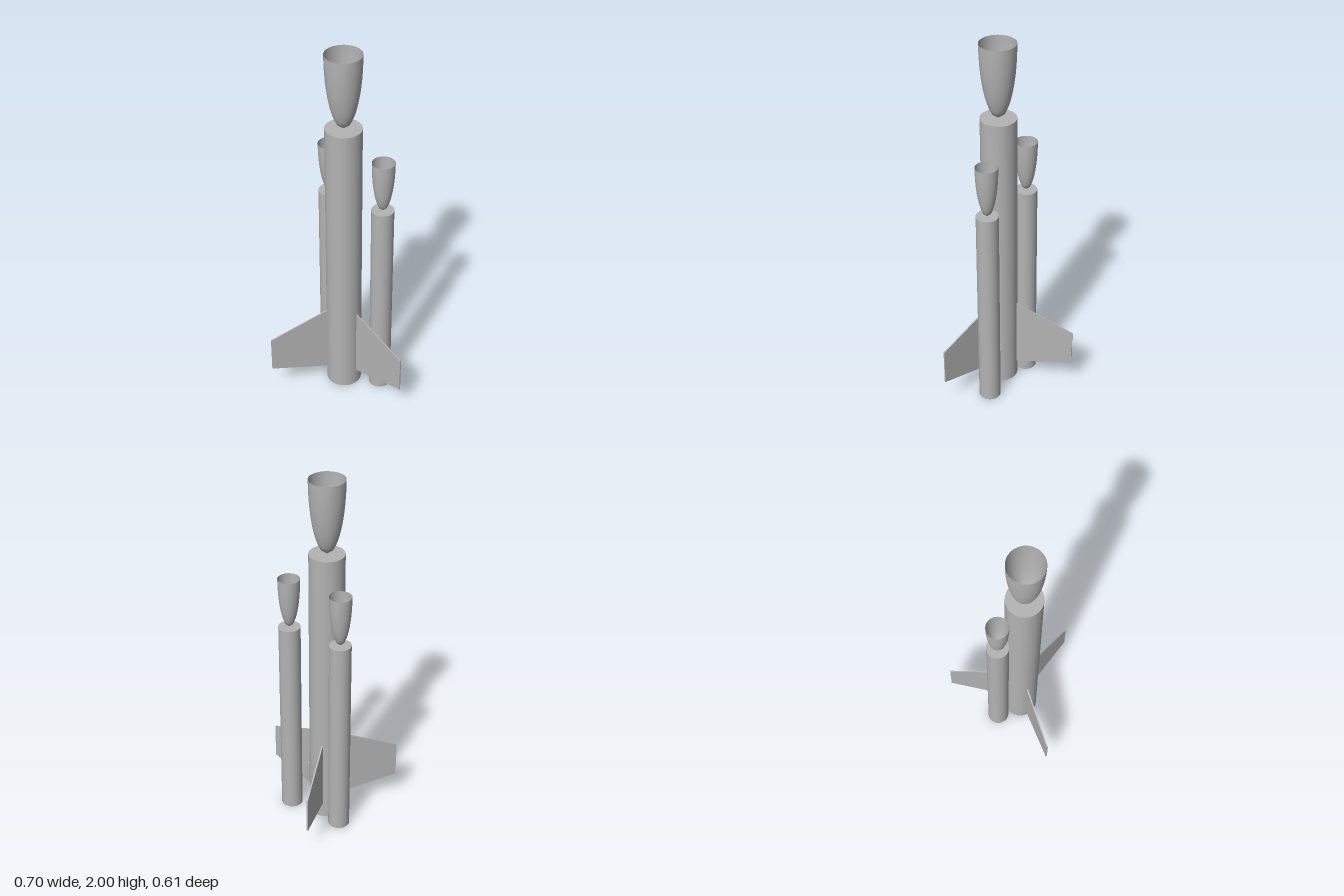
import * as THREE from 'three';

export function createModel() {
  const model = new THREE.Group();
  model.name = 'rocket';
  const grey = new THREE.MeshStandardMaterial({ color: 0xb3b3b3, side: THREE.DoubleSide });
  grey.name = 'grey';
  const axisZ = 0.1; // the main body stands forward of the origin

  const add = (parent, name, geometry) => {
    const mesh = new THREE.Mesh(geometry, grey);
    mesh.name = name;
    parent.add(mesh);
    return mesh;
  };

  // A closed tube with an open, tip-down elliptical shell on top
  function stage(name, x, z, radius, height, noseHeight) {
    const group = new THREE.Group();
    group.name = name;
    group.position.set(x, 0, z);
    const tube = add(group, name + 'Tube', new THREE.CylinderGeometry(radius, radius, height, 48));
    tube.position.y = height / 2;
    const profile = [];
    const steps = 16;
    for (let i = 0; i <= steps; i++) {
      const t = i / steps;
      profile.push(new THREE.Vector2(radius * Math.sqrt(1 - (1 - t) ** 2), t * noseHeight));
    }
    const nose = add(group, name + 'Nose', new THREE.LatheGeometry(profile, 48));
    nose.position.y = height;
    model.add(group);
  }

  stage('mainBody', 0, axisZ, 0.093, 1.602, 0.398);
  stage('leftBooster', 0.2, axisZ, 0.058, 1.153, 0.28);
  stage('rearBooster', -0.1, -0.014, 0.058, 1.153, 0.28);

  // Three swept fins, 120 degrees apart, one pointing straight back
  const outline = new THREE.Shape([
    new THREE.Vector2(0.09, 0.09),
    new THREE.Vector2(0.405, 0.15),
    new THREE.Vector2(0.405, 0.35),
    new THREE.Vector2(0.09, 0.487),
  ]);
  const thickness = 0.007;
  const finGeometry = new THREE.ExtrudeGeometry(outline, { depth: thickness, bevelEnabled: false });
  finGeometry.translate(0, 0, -thickness / 2);
  for (let i = 0; i < 3; i++) {
    const fin = add(model, 'fin' + (i + 1), finGeometry);
    fin.position.z = axisZ;
    fin.rotation.y = Math.PI / 2 + (i * Math.PI * 2) / 3;
  }

  // Small launch lug on the side of the main body
  const lug = add(model, 'launchLug', new THREE.CylinderGeometry(0.008, 0.008, 0.125, 16));
  lug.position.set(0.1, 0.222, axisZ);

  return model;
}
